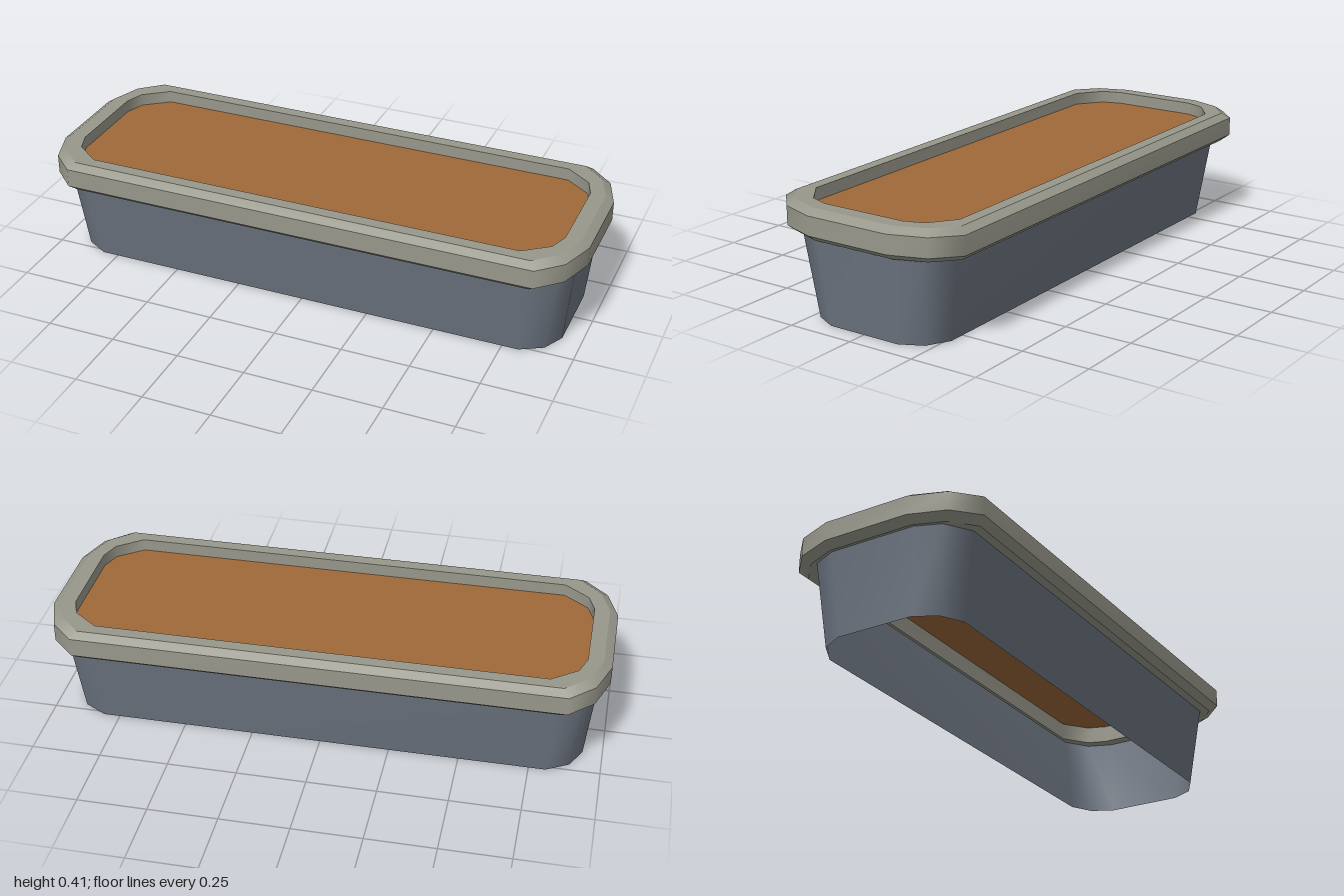
import * as THREE from 'three';
import { mergeGeometries } from 'three/addons/utils/BufferGeometryUtils.js';

// Closed outline mirrored from the three points of one rounded corner.
function outline(corner, y) {
  const back = [...corner].reverse();
  const quarter = (pts, sx, sz) => pts.map(([x, z]) => new THREE.Vector3(x * sx, y, z * sz));
  return [
    ...quarter(corner, 1, 1), ...quarter(back, -1, 1),
    ...quarter(corner, -1, -1), ...quarter(back, 1, -1),
  ];
}

// Strip of faces between two outlines, smooth around the loop.
function band(lower, upper) {
  const n = lower.length;
  const index = [];
  for (let i = 0; i < n; i++) {
    const j = (i + 1) % n;
    index.push(i, n + i, j, n + i, n + j, j);
  }
  const geometry = new THREE.BufferGeometry().setFromPoints([...lower, ...upper]);
  geometry.setIndex(index);
  geometry.computeVertexNormals();
  return geometry;
}

export function createModel() {
  const group = new THREE.Group();
  const material = (name, color, side = THREE.FrontSide) => {
    const m = new THREE.MeshStandardMaterial({ color, side });
    m.name = name;
    return m;
  };
  const add = (name, geometry, mat) => {
    const mesh = new THREE.Mesh(geometry, mat);
    mesh.name = name;
    group.add(mesh);
  };

  const slate = material('slate blue', 0x6c7480, THREE.DoubleSide);
  const stone = material('stone grey', 0x97978b);
  const earth = material('earth brown', 0xa0693a, THREE.DoubleSide);

  // Tapered thin wall, open underneath
  const wallFoot = [[0.93, 0.14], [0.89, 0.22], [0.81, 0.265]];
  const wallTop = [[0.96, 0.16], [0.925, 0.25], [0.835, 0.31]];
  add('troughWall', band(outline(wallFoot, 0), outline(wallTop, 0.306)), slate);

  // Chamfered rim: cross-section runs up the outside and down the inside
  const outer = [[1, 0.16], [0.955, 0.29], [0.87, 0.37]];
  const bevel = [[0.97, 0.16], [0.93, 0.27], [0.85, 0.343]];
  const inner = [[0.915, 0.16], [0.89, 0.23], [0.8, 0.298]];
  const section = [
    outline(bevel, 0.304), outline(outer, 0.327), outline(outer, 0.395),
    outline(bevel, 0.415), outline(inner, 0.415), outline(inner, 0.304),
  ];
  add('rim', mergeGeometries(section.map((loop, i) => band(loop, section[(i + 1) % section.length]))), stone);

  // Soil surface set just below the rim
  const soilShape = new THREE.Shape(outline(inner, 0).map((p) => new THREE.Vector2(p.x, -p.z)));
  const soil = new THREE.ShapeGeometry(soilShape).rotateX(-Math.PI / 2).translate(0, 0.37, 0);
  add('soil', soil, earth);

  return group;
}
